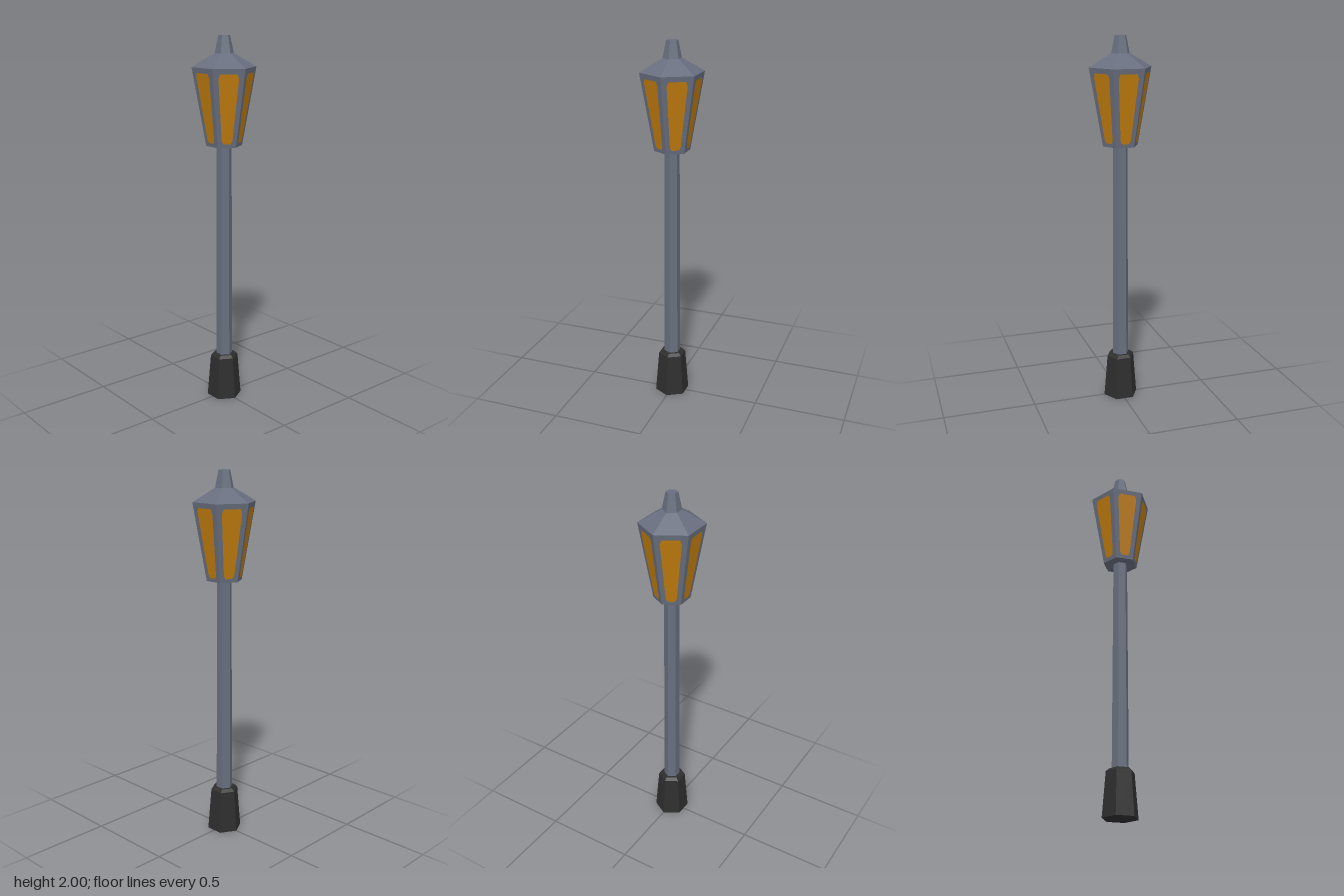
import * as THREE from 'three';

const flat = (name, color) => {
  const m = new THREE.MeshStandardMaterial({ color });
  m.name = name;
  m.flatShading = true;
  return m;
};

export function createModel() {
  const group = new THREE.Group();
  group.name = 'streetLamp';
  const iron = flat('greyIron', 0x686e7e);
  const black = flat('blackIron', 0x2e2e2e);
  const amber = flat('amberGlass', 0xc07c0e);

  // Six-sided tapered section from y0 to y1, with corners facing front and back
  const hex = (name, y0, r0, y1, r1, material, open = false) => {
    const geometry = new THREE.CylinderGeometry(r1, r0, y1 - y0, 6, 1, open);
    const mesh = new THREE.Mesh(geometry, material);
    mesh.name = name;
    mesh.position.y = (y0 + y1) / 2;
    group.add(mesh);
  };

  // Foot and post
  hex('base', 0, 0.095, 0.235, 0.076, black);
  hex('baseBevel', 0.235, 0.076, 0.25, 0.06, black);
  hex('post', 0.24, 0.045, 1.44, 0.04, iron);

  // Lantern body, roof and finial
  const bottom = 1.43, top = 1.84, rBottom = 0.096, rTop = 0.17;
  hex('lanternBody', bottom, rBottom, top, rTop, iron);
  hex('roof', top, rTop, 1.91, 0.05, iron);
  hex('finial', 1.91, 0.05, 2, 0.031, iron);

  // Glass pane outline: half width and height, mirrored about the middle
  const half = [[0.019, 1.45], [0.028, 1.468], [0.053, 1.79], [0.045, 1.813]];
  const outline = [...half, ...half.map(([x, y]) => [-x, y]).reverse()];
  const pane = new THREE.ShapeGeometry(new THREE.Shape(outline.map(([x, y]) => new THREE.Vector2(x, y))));

  // Lean the pane along the sloping lantern wall
  const p = pane.attributes.position;
  for (let i = 0; i < p.count; i++) {
    const t = (p.getY(i) - bottom) / (top - bottom);
    p.setZ(i, THREE.MathUtils.lerp(rBottom, rTop, t) * Math.cos(Math.PI / 6) + 0.0015);
  }
  pane.computeVertexNormals();

  // One pane on each wall
  for (let i = 0; i < 6; i++) {
    const mesh = new THREE.Mesh(pane, amber);
    mesh.name = 'glassPane' + (i + 1);
    mesh.rotation.y = Math.PI / 6 + (i * Math.PI) / 3;
    group.add(mesh);
  }
  return group;
}
